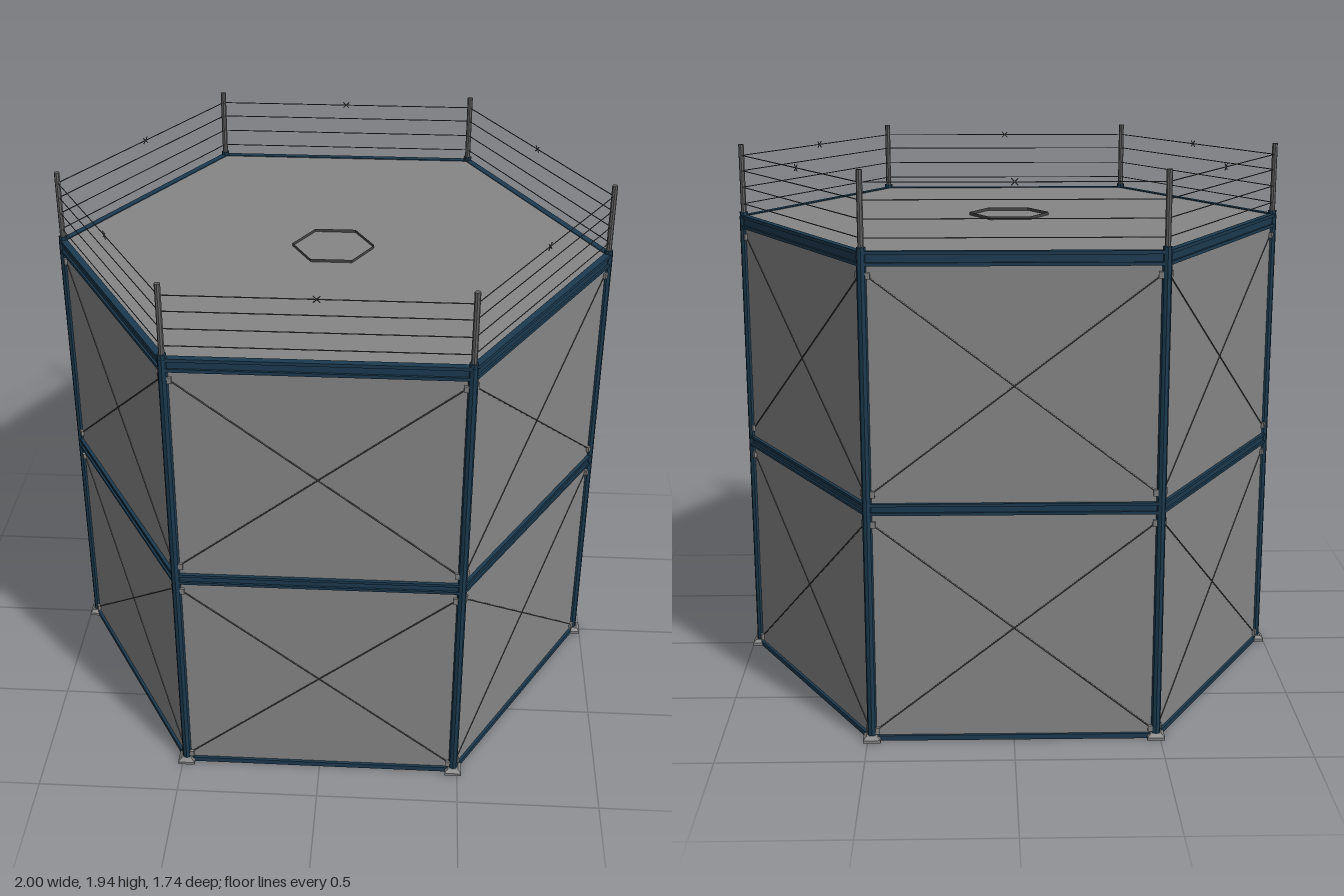
import * as THREE from 'three';

const R = 0.97;                       // hexagon corner radius
const APOTHEM = R * Math.cos(Math.PI / 6);
const ROOF_Y = 1.68;

function material(name, color, extra = {}) {
  const m = new THREE.MeshStandardMaterial({ color, flatShading: true, ...extra });
  m.name = name;
  return m;
}

export function createModel() {
  const frameBlue = material('frame blue', 0x1b3a50);
  const panelGrey = material('panel grey', 0x868686, { side: THREE.DoubleSide });
  const steelGrey = material('steel grey', 0x808080);
  const poleGrey = material('pole grey', 0x626262);
  const wireGrey = material('wire grey', 0x444444, { side: THREE.DoubleSide });

  const model = new THREE.Group();
  model.name = 'hexagonalTower';

  function add(parent, name, geometry, mat, x = 0, y = 0, z = 0) {
    const mesh = new THREE.Mesh(geometry, mat);
    mesh.name = name;
    mesh.position.set(x, y, z);
    parent.add(mesh);
    return mesh;
  }

  // round rod between two points in a wall's own plane
  function rod(parent, name, x1, y1, x2, y2, z, radius, mat) {
    const dx = x2 - x1, dy = y2 - y1;
    const geometry = new THREE.CylinderGeometry(radius, radius, Math.hypot(dx, dy), 6);
    const mesh = add(parent, name, geometry, mat, (x1 + x2) / 2, (y1 + y2) / 2, z);
    mesh.rotation.z = Math.atan2(dy, dx) - Math.PI / 2;
  }

  // I-section profile swept along a wall
  function beamGeometry(height, width, length) {
    const h = height / 2, w = width / 2, t = height * 0.24, web = width * 0.2;
    const shape = new THREE.Shape([
      [-w, -h], [w, -h], [w, -h + t], [web, -h + t], [web, h - t], [w, h - t],
      [w, h], [-w, h], [-w, h - t], [-web, h - t], [-web, -h + t], [-w, -h + t],
    ].map(([x, y]) => new THREE.Vector2(x, y)));
    const geometry = new THREE.ExtrudeGeometry(shape, { depth: length, bevelEnabled: false });
    return geometry.translate(0, 0, -length / 2).rotateY(Math.PI / 2);
  }

  // flat hexagon with corners on the x axis
  const hexagon = (radius, height, open) =>
    new THREE.CylinderGeometry(radius, radius, height, 6, 1, open, Math.PI / 6);

  const half = R / 2;
  const storeys = [[0.035, 0.775], [0.88, 1.605]];   // brace heights

  for (let i = 0; i < 6; i++) {
    // one wall, built facing +z and turned into place
    const wall = new THREE.Group();
    wall.name = 'wall' + (i + 1);
    wall.rotation.y = i * Math.PI / 3;
    model.add(wall);

    add(wall, 'wallPanel', new THREE.PlaneGeometry(R, 1.66), panelGrey, 0, 0.84, APOTHEM);
    add(wall, 'bottomBeam', new THREE.BoxGeometry(R, 0.018, 0.02), frameBlue, 0, 0.009, APOTHEM);
    add(wall, 'middleBeam', beamGeometry(0.04, 0.024, R), frameBlue, 0, 0.828, APOTHEM);
    add(wall, 'topBeam', beamGeometry(0.048, 0.024, R), frameBlue, 0, 1.66, APOTHEM);

    for (const [low, high] of storeys) {
      const e = half - 0.015;
      rod(wall, 'crossBrace', -e, low, e, high, APOTHEM, 0.003, wireGrey);
      rod(wall, 'crossBrace', -e, high, e, low, APOTHEM, 0.003, wireGrey);
      for (const side of [-1, 1])
        for (const y of [low, high])
          add(wall, 'braceBracket', new THREE.BoxGeometry(0.018, 0.022, 0.02), steelGrey,
            side * (half - 0.018), y, APOTHEM);
    }

    // guard wires with a small crossed tie on the top one
    for (const y of [1.725, 1.785, 1.845, 1.9])
      rod(wall, 'guardWire', -half, y, half, y, APOTHEM, 0.0018, wireGrey);
    for (const s of [-1, 1])
      rod(wall, 'wireTie', -0.011, 1.9 - s * 0.011, 0.011, 1.9 + s * 0.011, APOTHEM, 0.0018, wireGrey);

    // corner post, foot and guard pole
    const a = i * Math.PI / 3;
    const corner = new THREE.Group();
    corner.name = 'corner' + (i + 1);
    corner.position.set(R * Math.cos(a), 0, R * Math.sin(a));
    model.add(corner);
    add(corner, 'basePlate', new THREE.BoxGeometry(0.06, 0.01, 0.06), steelGrey, 0, 0.005, 0);
    const foot = new THREE.CylinderGeometry(0.026, 0.042, 0.01, 4, 1, false, Math.PI / 4);
    add(corner, 'foot', foot, steelGrey, 0, 0.015, 0);
    add(corner, 'cornerPost', new THREE.CylinderGeometry(0.016, 0.016, 1.67, 8), frameBlue, 0, 0.845, 0);
    add(corner, 'poleSocket', new THREE.CylinderGeometry(0.015, 0.015, 0.03, 8), frameBlue, 0, 1.681, 0);
    add(corner, 'guardPole', new THREE.CylinderGeometry(0.01, 0.01, 0.26, 8), poleGrey, 0, 1.81, 0);
  }

  // roof deck and raised hatch rim
  add(model, 'roofDeck', hexagon(R - 0.006, 0.012, false), panelGrey, 0, ROOF_Y - 0.005, 0);
  add(model, 'hatchRim', hexagon(0.145, 0.012, true), wireGrey, 0, ROOF_Y + 0.006, 0);

  return model;
}
